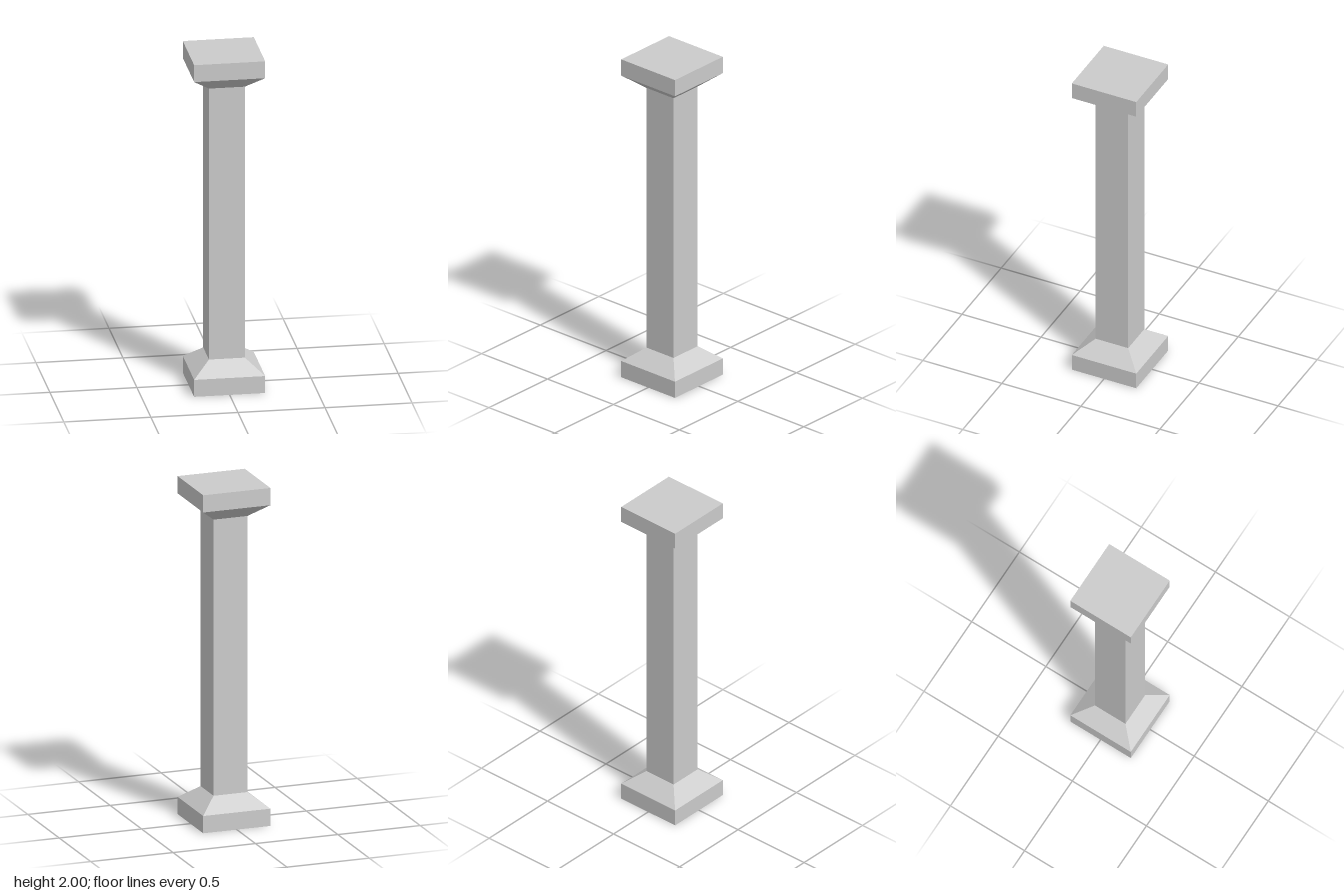
import * as THREE from 'three';

export function createModel() {
  const group = new THREE.Group();
  const material = new THREE.MeshStandardMaterial({
    color: 0xcccccc, flatShading: true, side: THREE.DoubleSide,
  });

  const WIDE = 0.204, NARROW = 0.103; // half widths of the blocks and the shaft
  const BLOCK = 0.102, FLARE = 0.183; // heights of the block edge and the flare edge

  // Open four-sided tube between two heights, with square ends
  function section(name, y0, half0, y1, half1) {
    const geometry = new THREE.CylinderGeometry(
      half1 * Math.SQRT2, half0 * Math.SQRT2, y1 - y0, 4, 1, true);
    geometry.rotateY(Math.PI / 4);
    geometry.translate(0, (y0 + y1) / 2, 0);
    const mesh = new THREE.Mesh(geometry, material);
    mesh.name = name;
    group.add(mesh);
  }

  // Hollow column, open underneath
  section('baseBlock', 0, WIDE, BLOCK, WIDE);
  section('baseFlare', BLOCK, WIDE, FLARE, NARROW);
  section('shaft', FLARE, NARROW, 2 - FLARE, NARROW);
  section('capitalFlare', 2 - FLARE, NARROW, 2 - BLOCK, WIDE);
  section('capitalBlock', 2 - BLOCK, WIDE, 2, WIDE);

  // Flat top that closes the capital
  const top = new THREE.Mesh(
    new THREE.PlaneGeometry(WIDE * 2, WIDE * 2).rotateX(-Math.PI / 2), material);
  top.position.y = 2;
  top.name = 'capitalTop';
  group.add(top);

  return group;
}
